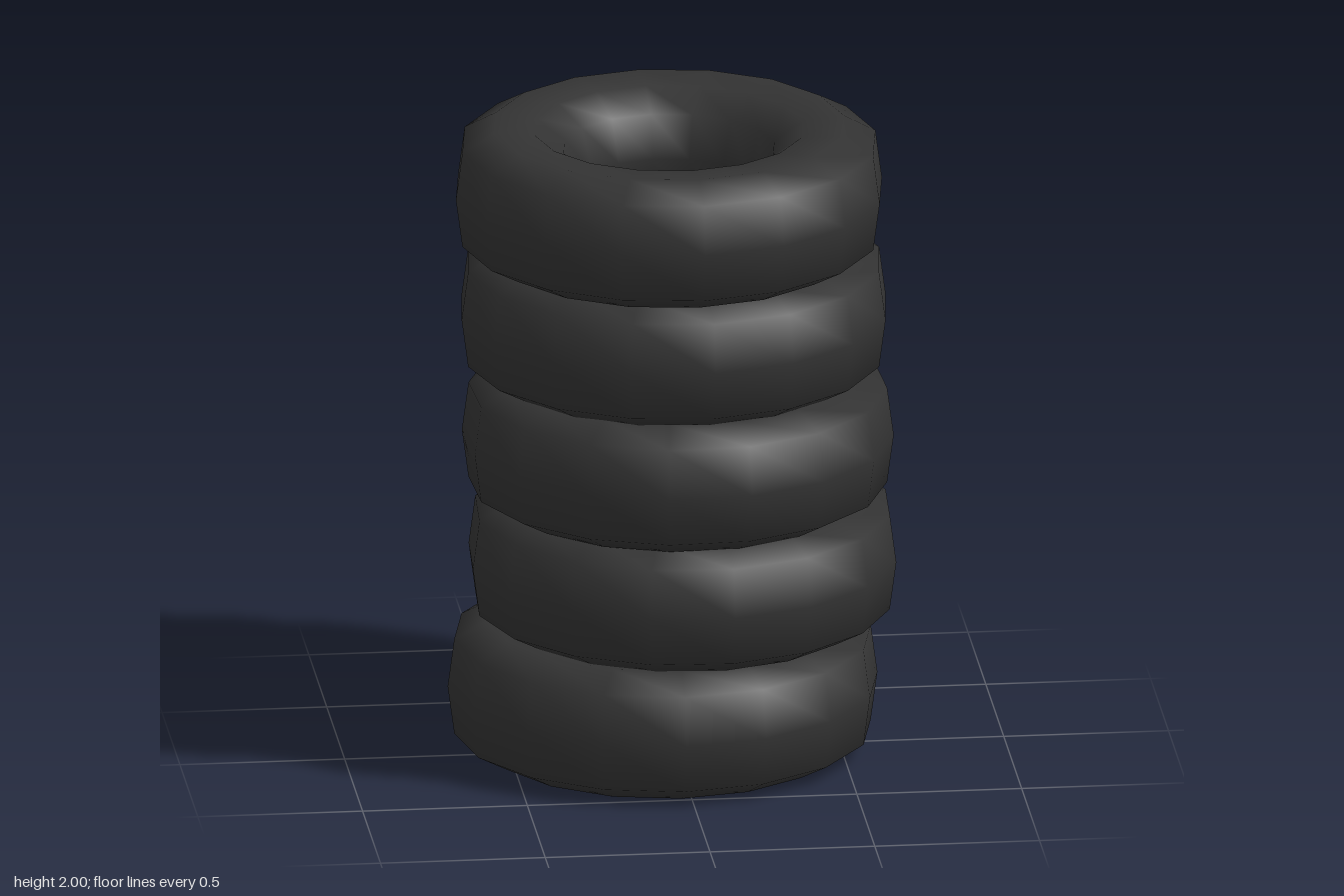
import * as THREE from 'three';

const SIDES = 16;

// Half of the tyre cross-section, from the inner wall to the tread: [radius, height]
const HALF = [[0.283, 0], [0.322, 0.13], [0.41, 0.192], [0.535, 0.203], [0.632, 0.15], [0.652, 0]];

// Position and turn of each tyre, bottom to top: [x, y, z, turn in degrees]
const STACK = [
  [-0.03, 0.203, -0.05, 0],
  [0.03, 0.605, -0.045, 8],
  [0.012, 1.0, -0.01, 14],
  [0, 1.397, -0.015, 5],
  [-0.022, 1.797, 0.055, 3.5],
];

// Closed ring: along the underside to the tread, then back over the top
function tyreGeometry() {
  const lower = HALF.map(([r, h]) => new THREE.Vector2(r, -h));
  const upper = HALF.slice(0, -1).reverse().map(([r, h]) => new THREE.Vector2(r, h));
  const geometry = new THREE.LatheGeometry([...lower, ...upper], SIDES);

  // Smooth the seam where the section closes on the inner wall
  const n = geometry.attributes.normal;
  const rows = lower.length + upper.length;
  for (let i = 0; i <= SIDES; i++) {
    const a = (i / SIDES) * Math.PI * 2;
    for (const j of [0, rows - 1]) n.setXYZ(i * rows + j, -Math.sin(a), 0, -Math.cos(a));
  }
  return geometry;
}

export function createModel() {
  const group = new THREE.Group();
  group.name = 'tyreStack';
  const geometry = tyreGeometry();
  const rubber = new THREE.MeshStandardMaterial({ color: 0x333333 });

  STACK.forEach(([x, y, z, turn], i) => {
    const tyre = new THREE.Mesh(geometry, rubber);
    tyre.name = `tyre${i + 1}`;
    tyre.position.set(x, y, z);
    tyre.rotation.y = THREE.MathUtils.degToRad(turn);
    group.add(tyre);
  });
  return group;
}
